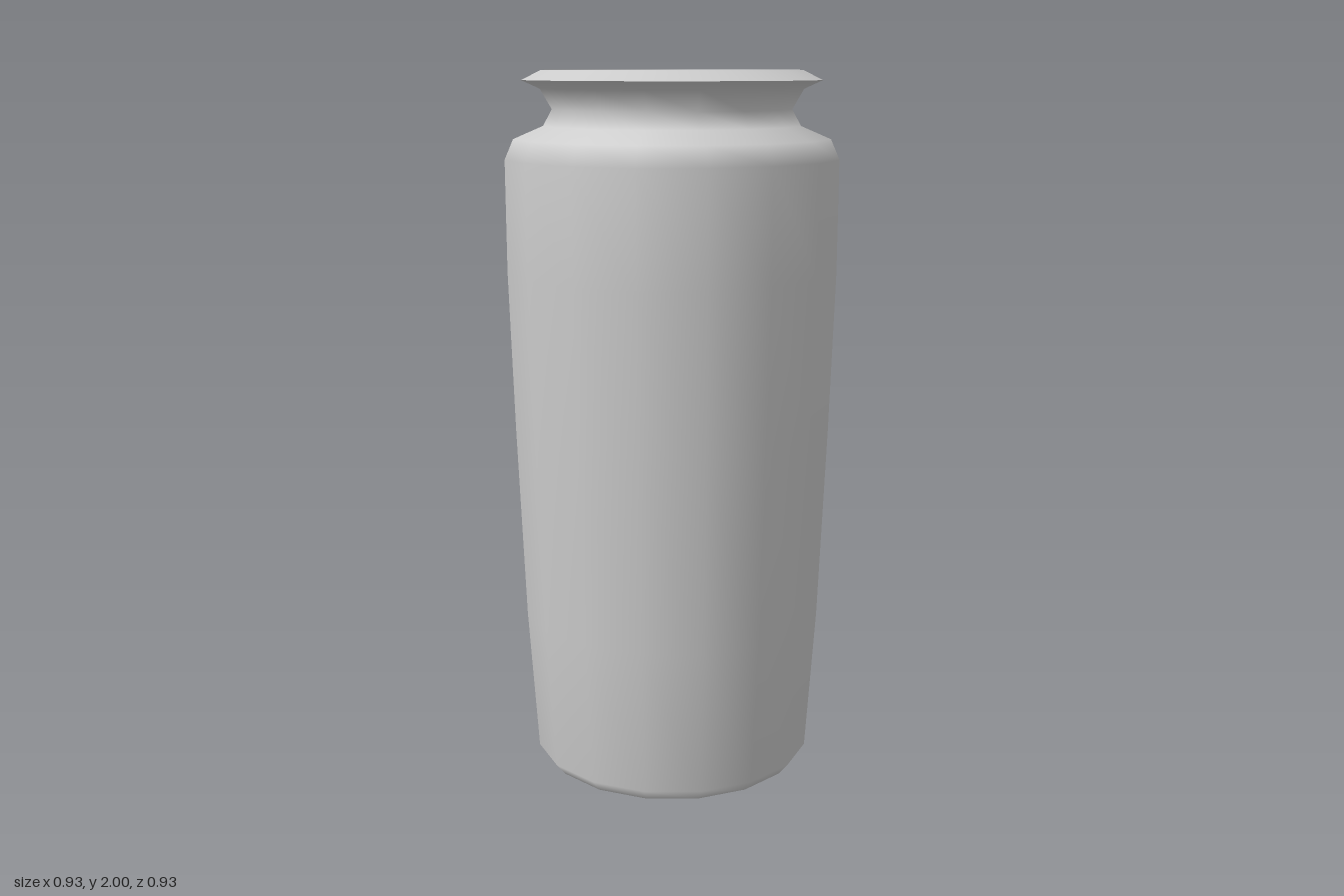
import * as THREE from 'three';

const SIDES = 16;

export function createModel() {
  const group = new THREE.Group();
  group.name = 'vase';
  const material = new THREE.MeshStandardMaterial({ color: 0xcccccc });

  // Each part is its own lathe, so the joins between parts stay sharp.
  function turn(name, profile) {
    const points = profile.map(([r, y]) => new THREE.Vector2(r, y));
    const mesh = new THREE.Mesh(new THREE.LatheGeometry(points, SIDES), material);
    mesh.name = name;
    group.add(mesh);
  }

  // Flat underside
  turn('base', [[0, 0], [0.373, 0]]);

  // Bevelled foot, tapering wall, rounded shoulder, pinched neck and flared lip
  turn('body', [
    [0.373, 0], [0.402, 0.035], [0.43, 0.45], [0.452, 1.0], [0.466, 1.45],
    [0.467, 1.76], [0.443, 1.815], [0.36, 1.85], [0.335, 1.895],
    [0.367, 1.95], [0.418, 1.973],
  ]);

  // Sloping top of the lip
  turn('rim', [[0.418, 1.973], [0.363, 2]]);

  // Rounded hollow inside the mouth
  turn('hollow', [
    [0.363, 2], [0.338, 1.94], [0.315, 1.885], [0.27, 1.81],
    [0.19, 1.735], [0.1, 1.69], [0, 1.675],
  ]);

  return group;
}
